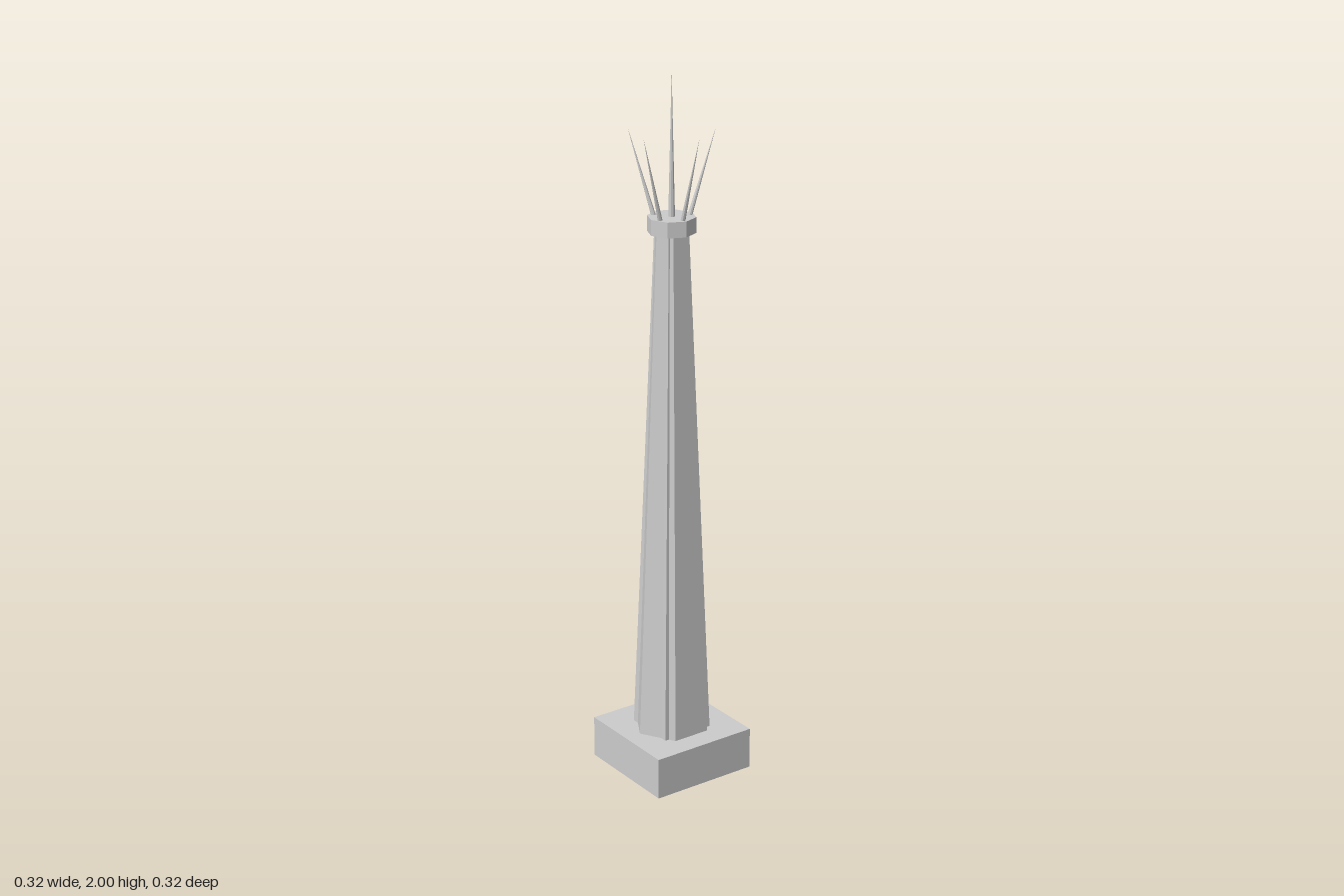
import * as THREE from 'three';

export function createModel() {
  const group = new THREE.Group();
  group.name = 'spiredTower';
  const stone = new THREE.MeshStandardMaterial({ color: 0xcccccc, flatShading: true });
  stone.name = 'pale grey stone';

  const add = (name, geometry, x, y, z) => {
    const mesh = new THREE.Mesh(geometry, stone);
    mesh.name = name;
    mesh.position.set(x, y, z);
    group.add(mesh);
    return mesh;
  };

  // Square plinth
  const plinthTop = 0.12;
  add('plinth', new THREE.BoxGeometry(0.317, plinthTop, 0.317), 0, plinthTop / 2, 0);

  // Tapered hexagonal shaft, with a square shaft whose corners show as ribs
  const capBottom = 1.567, capTop = 1.61;
  const shaftHeight = capBottom - plinthTop;
  const shaftY = (capBottom + plinthTop) / 2;
  add('hexagonalShaft', new THREE.CylinderGeometry(0.049, 0.11, shaftHeight, 6), 0, shaftY, 0);
  add('cornerRibs', new THREE.CylinderGeometry(0.047, 0.109, shaftHeight, 4), 0, shaftY, 0)
    .rotation.y = Math.PI / 4;

  // Octagonal cap
  add('cap', new THREE.CylinderGeometry(0.066, 0.066, capTop - capBottom, 8), 0, (capTop + capBottom) / 2, 0);

  // Tall central spike
  add('centralSpike', new THREE.ConeGeometry(0.009, 2 - capTop, 8), 0, (2 + capTop) / 2, 0);

  // Ring of five spikes leaning outwards
  const up = new THREE.Vector3(0, 1, 0);
  for (let i = 0; i < 5; i++) {
    const a = (i / 5) * Math.PI * 2;
    const base = new THREE.Vector3(0.05 * Math.cos(a), capTop - 0.003, 0.05 * Math.sin(a));
    const tip = new THREE.Vector3(0.122 * Math.cos(a), 1.842, 0.122 * Math.sin(a));
    const axis = tip.clone().sub(base);
    const middle = base.clone().add(tip).multiplyScalar(0.5);
    add('leaningSpike', new THREE.ConeGeometry(0.0065, axis.length(), 8), middle.x, middle.y, middle.z)
      .quaternion.setFromUnitVectors(up, axis.normalize());
  }
  return group;
}
